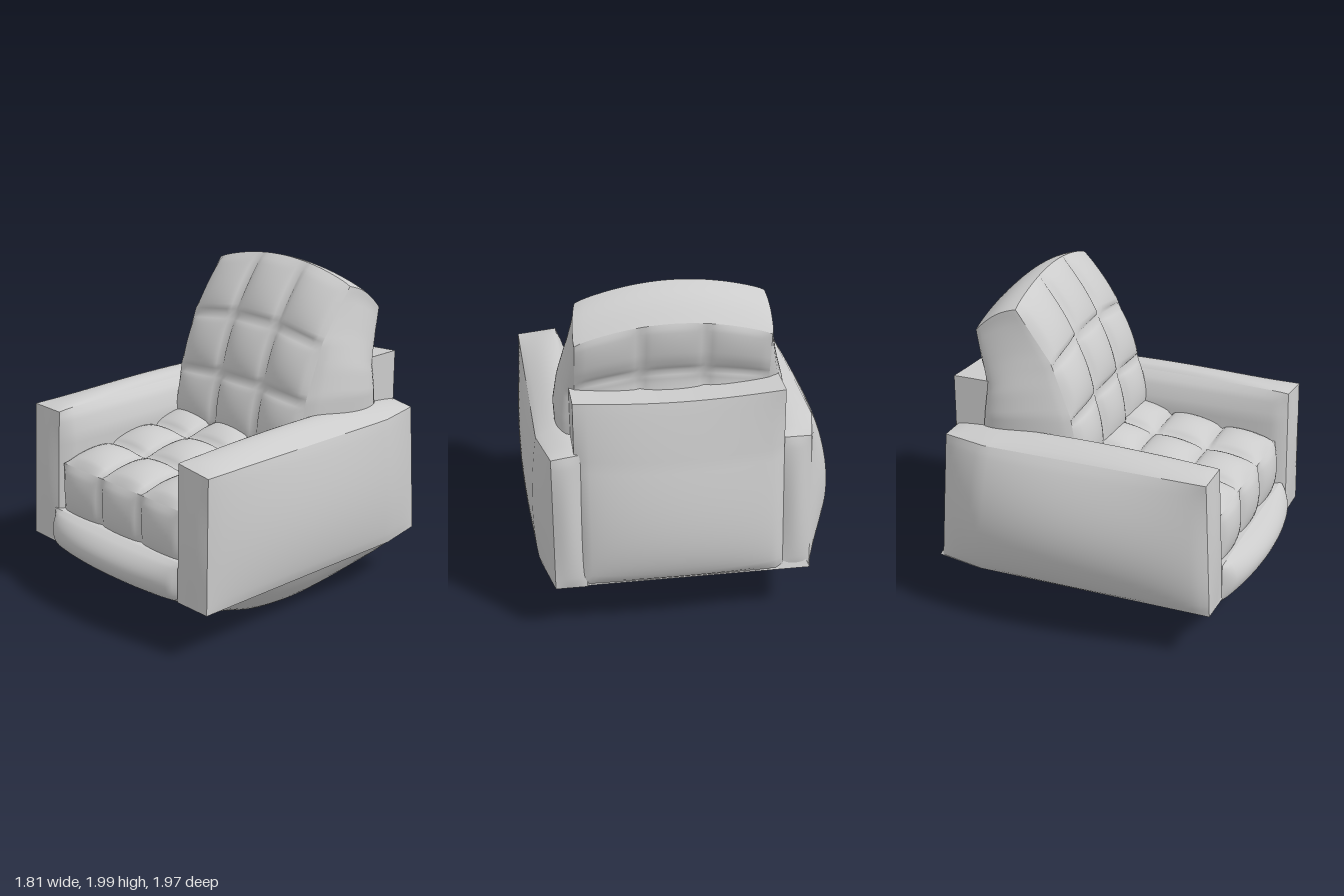
import * as THREE from 'three';

const lerp = THREE.MathUtils.lerp;
const hump = (t, p = 1) => Math.pow(Math.max(0, Math.sin(Math.PI * t)), p);
// one rounded pad per third, with sharp valleys between them
const tuft = (a, b) => Math.pow(Math.abs(Math.sin(3 * Math.PI * a) * Math.sin(3 * Math.PI * b)), 0.5);
// how far the outer sides have opened out from the narrower rear corners
const opened = (w) => Math.min(1, w * 6);

// piecewise linear lookup in [[key, value], ...]
function along(points, k) {
  for (let i = 1; i < points.length; i++) {
    const [k0, v0] = points[i - 1], [k1, v1] = points[i];
    if (k <= k1) return lerp(v0, v1, THREE.MathUtils.clamp((k - k0) / (k1 - k0), 0, 1));
  }
  return points[points.length - 1][1];
}

// a box whose unit coordinates (u right, v up, w forward) are moved by a rule
function softBox(name, segments, rule) {
  const geometry = new THREE.BoxGeometry(1, 1, 1, ...segments);
  const p = geometry.attributes.position;
  for (let i = 0; i < p.count; i++) {
    p.setXYZ(i, ...rule(p.getX(i) + 0.5, p.getY(i) + 0.5, p.getZ(i) + 0.5));
  }
  geometry.computeVertexNormals();
  const mesh = new THREE.Mesh(geometry, new THREE.MeshStandardMaterial({ color: 0xcccccc }));
  mesh.name = name;
  return mesh;
}

// arm with bulging outer side, domed top and a soft shoulder rolling in to the seat
function arm(name, { outer, rearOuter, inner, bulge, outerTop, front, back }) {
  const dir = Math.sign(outer);
  return softBox(name, [16, 24, 36], (u, v, w) => {
    const a = dir < 0 ? u : 1 - u; // 0 outside, 1 inside
    const out = lerp(rearOuter, outer, opened(w))
      + dir * bulge * hump(Math.pow(v, 0.85), 0.8) * hump(w, 0.65);
    const lean = 0.09 * Math.sqrt(Math.min(1, (1 - v) * 5)) * hump(w, 0.35);
    const dome = (0.045 * hump(Math.pow(a, 1.3), 0.6) + 0.02 * a) * hump(w, 0.6);
    return [
      lerp(out, inner - dir * lean, a),
      lerp(0.31, lerp(outerTop, 1.135, a) + dome, v),
      lerp(
        lerp(back[0], back[1], v) - 0.03 * hump(a) * hump(v, 0.5),
        lerp(front[0], front[1], v) + 0.02 * hump(a) * hump(v),
        w
      ),
    ];
  });
}

export function createModel() {
  const chair = new THREE.Group();
  chair.name = 'armchair';

  // sagging underside, lowest off to one side
  chair.add(softBox('underside', [40, 3, 40], (u, v, w) => {
    const sagX = 1 - (u < 0.75 ? Math.pow((0.75 - u) / 0.75, 1.5) : Math.pow((u - 0.75) / 0.25, 2));
    const sagZ = 1 - Math.pow(Math.abs(2 * w - 1), 1.7);
    const sag = lerp(sagX * sagZ, Math.min(sagX, sagZ), 0.4);
    const inset = 0.05 * v;
    return [
      lerp(lerp(-0.69, -0.75, opened(w)) + inset, lerp(0.79, 0.84, opened(w)) - inset, u),
      lerp(0.31 - 0.31 * sag, 0.42, v),
      lerp(-0.9 + inset, lerp(0.85, 0.88, u) - inset, w),
    ];
  }));

  chair.add(arm('rightArm', {
    outer: -0.75, rearOuter: -0.69, inner: -0.52, bulge: 0.16, outerTop: 1.135,
    front: [0.85, 0.81], back: [-0.88, -0.82],
  }));
  chair.add(arm('leftArm', {
    outer: 0.85, rearOuter: 0.79, inner: 0.61, bulge: 0.055, outerTop: 1.11,
    front: [0.885, 0.87], back: [-0.91, -0.85],
  }));

  // bulging rear panel
  chair.add(softBox('backPanel', [30, 30, 6], (u, v, w) => {
    const bulge = 0.12 * hump(Math.pow(v, 0.6), 0.9) * hump(u, 0.45);
    return [
      lerp(-0.53, 0.66, u),
      lerp(0.31, 1.44 - 0.03 * hump(u), v),
      lerp(lerp(-0.89, -0.835, Math.min(1, v * 1.5)) - bulge, -0.6, w),
    ];
  }));

  // rounded rail under the seat
  chair.add(softBox('frontRail', [30, 16, 4], (u, v, w) => [
    lerp(-0.54, 0.62, u),
    lerp(0.3 - 0.03 * hump(u, 0.5), 0.53, v),
    lerp(0.5, 0.85 + 0.13 * hump(v, 0.6) * hump(u, 0.4), w),
  ]));

  // seat tufted three by three on top and in three columns at the front
  chair.add(softBox('seat', [36, 12, 36], (u, v, w) => {
    const top = lerp(0.95, 0.82, w) + 0.07 * tuft(u, w);
    const pads = 0.05 * Math.sqrt(Math.abs(Math.sin(3 * Math.PI * u))) * hump(v, 0.6);
    return [
      lerp(-0.49, 0.57, u),
      lerp(0.5, top, v),
      lerp(-0.2, 0.81 + pads, w),
    ];
  }));

  // reclined backrest, tufted front and back, flaring at the sides low down
  const frontLine = [[0.9, -0.06], [1.29, -0.12], [1.64, -0.24], [1.97, -0.46]];
  const backLine = [[0.9, -0.7], [1.44, -0.64], [1.6, -0.68], [1.8, -0.71]];
  const flareLine = [[0.9, 0.1], [1.3, 0.12], [1.45, 0.1], [1.65, 0.05], [1.85, 0.01]];
  chair.add(softBox('backrest', [36, 36, 18], (u, v, w) => {
    const arch = 0.1 * (hump(u, 0.8) - 0.75) * v;
    const front = along(frontLine, lerp(0.92, 1.96, v)) + 0.06 * tuft(u, v) - 0.03 * u * v;
    const back = along(backLine, lerp(0.92, 1.8, v)) - 0.03 * tuft(u, v);
    const flare = along(flareLine, lerp(0.92, 1.9, v));
    return [
      lerp(
        -0.47 - flare * hump(Math.pow(w, 0.55), 0.7),
        0.6 + flare * hump(Math.pow(w, 0.85), 0.6) + 0.03 * (1 - w),
        u
      ),
      lerp(0.92, lerp(1.8, 1.96, w) + 0.03 * hump(w), v) + arch,
      lerp(back, front, w),
    ];
  }));

  return chair;
}
